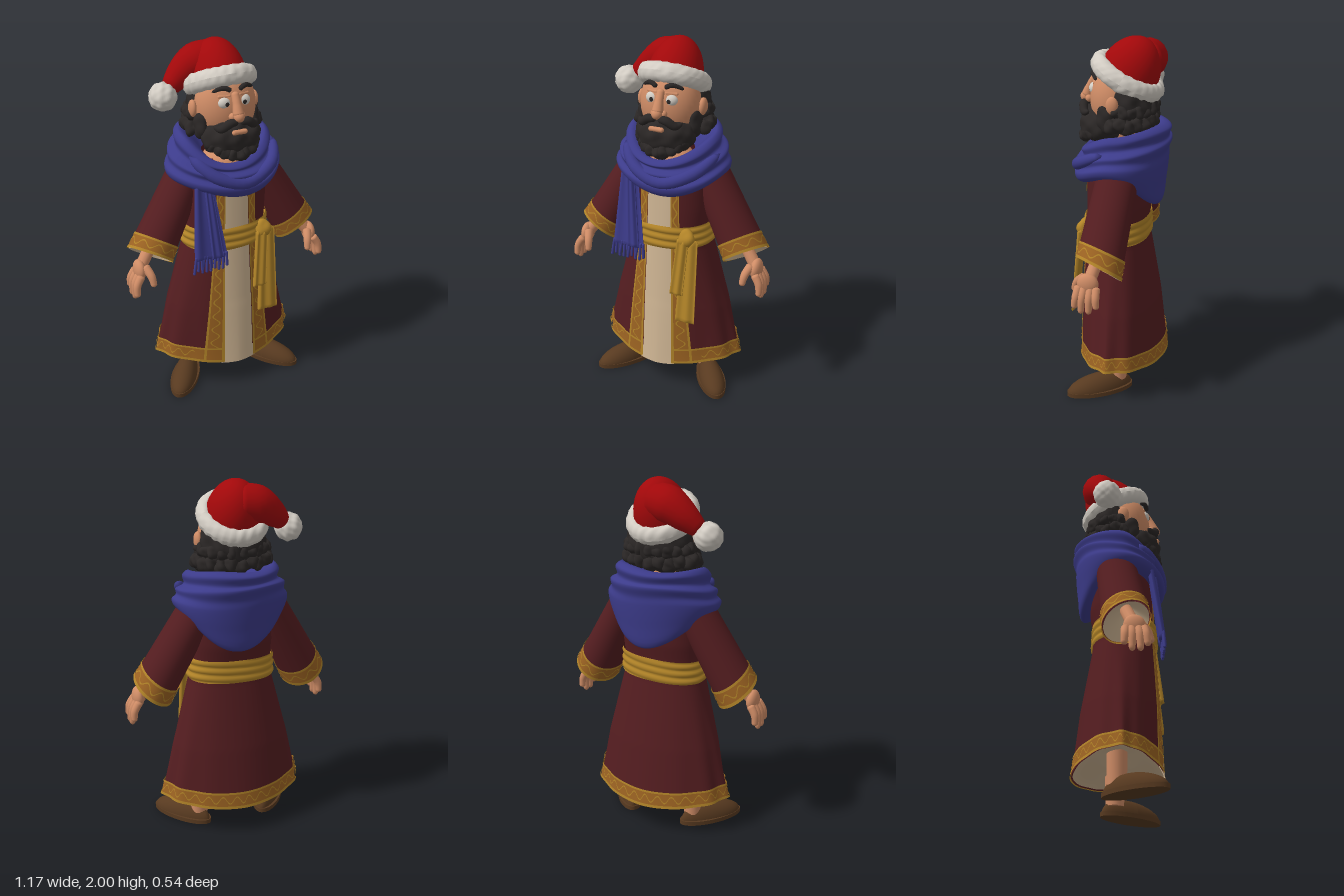
import * as THREE from 'three';
import { mergeVertices } from 'three/addons/utils/BufferGeometryUtils.js';

const mat = (name, color, side = THREE.FrontSide) => {
  const m = new THREE.MeshStandardMaterial({ color, side });
  m.name = name;
  return m;
};
const V = (x, y, z) => new THREE.Vector3(x, y, z);
const { lerp, clamp } = THREE.MathUtils;

// Surface from a rule f(u, v) -> Vector3
function patch(f, nu, nv) {
  const pos = [], idx = [];
  for (let j = 0; j <= nv; j++) for (let i = 0; i <= nu; i++) pos.push(...f(i / nu, j / nv).toArray());
  for (let j = 0; j < nv; j++) for (let i = 0; i < nu; i++) {
    const a = j * (nu + 1) + i, b = a + nu + 1;
    idx.push(a, a + 1, b, b, a + 1, b + 1);
  }
  let g = new THREE.BufferGeometry();
  g.setAttribute('position', new THREE.Float32BufferAttribute(pos, 3));
  g.setIndex(idx);
  g = mergeVertices(g, 1e-5);
  g.computeVertexNormals();
  return g;
}
// Tapered tube with rounded tips
function taper(points, radii) {
  const curve = new THREE.CatmullRomCurve3(points), n = 20, fr = curve.computeFrenetFrames(n);
  return patch((u, v) => {
    const i = Math.round(v * n), k = v * (radii.length - 1), a = Math.min(Math.floor(k), radii.length - 2);
    const r = lerp(radii[a], radii[a + 1], k - a) * Math.sqrt(clamp(Math.min(v, 1 - v) * 12, 0, 1));
    return curve.getPoint(v).addScaledVector(fr.normals[i], r * Math.cos(-u * 2 * Math.PI))
      .addScaledVector(fr.binormals[i], r * Math.sin(-u * 2 * Math.PI));
  }, 16, n);
}
const ball = (p, sx, sy = sx, sz = sx, n = 24) =>
  new THREE.SphereGeometry(1, n, Math.round(n * 0.7)).scale(sx, sy, sz).translate(p.x, p.y, p.z);
function capsule(a, b, r) {
  const d = b.clone().sub(a), g = new THREE.CapsuleGeometry(r, d.length(), 5, 12);
  g.applyQuaternion(new THREE.Quaternion().setFromUnitVectors(V(0, 1, 0), d.normalize()));
  const c = a.clone().add(b).multiplyScalar(0.5);
  return g.translate(c.x, c.y, c.z);
}
// Lumpy displacement for fur and curls
function lumpy(g, amp, f) {
  const p = g.attributes.position, n = g.attributes.normal;
  for (let i = 0; i < p.count; i++) {
    const x = p.getX(i), y = p.getY(i), z = p.getZ(i);
    const d = amp * (Math.sin(x * f + z * f * 0.6) + Math.sin(y * f * 1.1 - x * f * 0.5) * Math.cos(z * f));
    p.setXYZ(i, x + n.getX(i) * d, y + n.getY(i) * d, z + n.getZ(i) * d);
  }
  g.computeVertexNormals();
  return g;
}
function mirrored(g) {
  const m = g.clone().scale(-1, 1, 1), a = m.index.array;
  for (let i = 0; i < a.length; i += 3) [a[i], a[i + 1]] = [a[i + 1], a[i]];
  return m;
}

// Robe outline: height, half width, front depth, back depth
const rows = [[0.15, 0.408, 0.238, 0.256], [0.5, 0.342, 0.222, 0.215], [0.88, 0.238, 0.198, 0.15], [1.0, 0.232, 0.193, 0.146],
  [1.1, 0.24, 0.19, 0.165], [1.26, 0.245, 0.185, 0.17], [1.36, 0.21, 0.15, 0.15], [1.44, 0.1, 0.09, 0.1]];
function section(y) {
  let i = 0;
  while (i < rows.length - 2 && y > rows[i + 1][0]) i++;
  const t = (y - rows[i][0]) / (rows[i + 1][0] - rows[i][0]);
  return rows[i].map((a, k) => lerp(a, rows[i + 1][k], t));
}
// The front narrows towards the hem, the back stays rounder
const bend = (y, front) => 0.9 + (front ? 0.35 : 0.19) * clamp((1 - y) / 0.8, 0, 1);
function robe(y, th, off = 0) {
  const [, w, f, b] = section(y), s = Math.sin(th), c = Math.cos(th), e = bend(y, c > 0);
  const pw = (q) => Math.sign(q) * Math.abs(q) ** e;
  const k = 1 + off / 0.22 + 0.02 * clamp((0.85 - y) / 0.6, 0, 1) * Math.cos(12 * th) * s * s;
  return V(pw(s) * w * k, y + 0.045 * s * s * clamp((0.5 - y) / 0.34, 0, 1), pw(c) * (c > 0 ? f : b) * k);
}
const angleAt = (x, y) => Math.sign(x) * Math.asin(Math.min(1, Math.abs(x) / section(y)[1]) ** (1 / bend(y, true)));
const panelW = (y) => lerp(0.092, 0.065, clamp((y - 0.16) / 1.1, 0, 1));
const trimW = (y) => lerp(0.198, 0.11, clamp((y - 0.16) / 0.9, 0, 1));

// Hanging cloth strip between two ends given as [x, y, half width, z]
const strip = (from, to) => patch((u, v) => {
  const t = clamp((v - 0.02) / 0.96, 0, 1), a = -u * 2 * Math.PI, end = v === 0 || v === 1 ? 0 : 1;
  const [x, y, w, z] = from.map((q, i) => lerp(q, to[i], t));
  return V(x + w * Math.cos(a), y, z + end * (0.014 * Math.sin(a) + 0.005 * Math.cos(a * 5)));
}, 40, 26);

export function createModel() {
  const D = THREE.DoubleSide, root = new THREE.Group();
  root.name = 'robedMan';
  const M = {
    red: mat('hatRed', 0xa2080a, D), fur: mat('furWhite', 0xd2ccc3), skin: mat('skin', 0xcf8c66, D),
    hair: mat('hairBlack', 0x2b2726, D), blue: mat('scarfBlue', 0x3c3b8a, D), maroon: mat('coatMaroon', 0x541d20, D),
    gold: mat('sashGold', 0xb28428, D), trim: mat('trimBronze', 0x9c6322, D), cream: mat('tunicCream', 0xd2b896, D),
    shoe: mat('shoeBrown', 0x583a20),
  };
  const add = (name, g, m) => {
    const mesh = new THREE.Mesh(g, m);
    mesh.name = name;
    root.add(mesh);
  };
  const pair = (name, g, m) => { add(name + 'Left', g, m); add(name + 'Right', mirrored(g), m); };

  // Coat, tunic and trims
  const band = (y0, y1, off, n) => patch((u, v) => {
    const y = lerp(y0, y1, v), e = angleAt(panelW(y), y);
    return robe(y, lerp(e, 2 * Math.PI - e, u), off);
  }, 110, n);
  add('coat', band(0.16, 1.4, 0, 64), M.maroon);
  add('hemTrim', band(0.165, 0.25, 0.004, 6), M.trim);
  add('hemEdgeLower', band(0.158, 0.174, 0.007, 2), M.gold);
  add('hemEdgeUpper', band(0.243, 0.255, 0.006, 2), M.gold);
  add('hemScroll', patch((u, v) => {
    const e = 0.75, th = lerp(e, 2 * Math.PI - e, u);
    return robe(0.209 + 0.02 * Math.sin(th * 30) + (v - 0.5) * 0.008, th, 0.006);
  }, 360, 1), M.gold);
  add('tunic', patch((u, v) => {
    const y = lerp(0.15, 1.36, v), e = angleAt(panelW(y) * 1.15, y);
    return robe(y, lerp(-e, e, u), lerp(0.002, -0.008, clamp(v * 3, 0, 1)));
  }, 14, 60), M.cream);
  add('hemLining', patch((u, v) => {
    const p = robe(0.165, u * 2 * Math.PI, -0.006);
    return V(p.x * (1 - v), p.y + 0.045 * Math.sqrt(v), p.z * (1 - v));
  }, 80, 10), M.cream);
  const frontStrip = (a, b, off) => patch((u, v) => {
    const y = lerp(0.16, 1.36, v), x = lerp(panelW(y), trimW(y), lerp(a, b, u));
    return robe(y, angleAt(x, y), off);
  }, 8, 64);
  pair('frontTrim', frontStrip(0, 1, 0.004), M.trim);
  pair('frontTrimInnerEdge', frontStrip(-0.03, 0.12, 0.007), M.gold);
  pair('frontTrimOuterEdge', frontStrip(0.9, 1.03, 0.006), M.gold);
  pair('frontScroll', patch((u, v) => {
    const y = lerp(0.25, 1.3, v), x = lerp(panelW(y), trimW(y), 0.52 + 0.22 * Math.sin(y * 70)) + (u - 0.5) * 0.008;
    return robe(y, angleAt(x, y), 0.006);
  }, 1, 160), M.gold);

  // Sash with knot and hanging ends
  add('sash', patch((u, v) => {
    const th = u * 2 * Math.PI, y = lerp(0.885, 1.015, v);
    const p = robe(y, th, 0.006 + 0.012 * Math.abs(Math.sin(v * 3 * Math.PI + Math.sin(th * 2) * 0.4)));
    p.y += 0.008 * Math.sin(th);
    return p;
  }, 72, 18), M.gold);
  add('sashKnot', lumpy(ball(V(0.165, 0.955, 0.18), 0.045, 0.06, 0.04), 0.004, 60), M.gold);
  add('sashEndLong', strip([0.185, 0.96, 0.045, 0.185], [0.175, 0.465, 0.06, 0.236]), M.gold);
  add('sashEndShort', strip([0.148, 0.96, 0.035, 0.2], [0.122, 0.63, 0.04, 0.236]), M.gold);

  // Sleeves, cuffs, linings
  const A = V(0.2, 1.3, -0.025), B = V(0.445, 0.86, 0.02), ax = V(0.54, -0.84, 0), e1 = V(0.84, 0.54, 0);
  const along = (t, a, r) => A.clone().lerp(B, t).addScaledVector(e1, r * Math.cos(a))
    .addScaledVector(V(0, 0, 1), r * Math.sin(a) * lerp(1.13, 1, t)).addScaledVector(ax, -0.05 * t * Math.sin(a));
  const sleeve = (t0, t1, off, n, shrink = 0) => patch((u, v) => {
    const t = lerp(t0, t1, v);
    return along(t, u * 2 * Math.PI, (lerp(0.1, 0.124, t) + off) * (1 - shrink * v));
  }, 36, n);
  pair('sleeve', sleeve(0, 1, 0, 16), M.maroon);
  pair('shoulder', ball(A, 0.1, 0.1, 0.112), M.maroon);
  pair('cuff', sleeve(0.84, 1.0, 0.004, 4), M.trim);
  pair('cuffLowerEdge', sleeve(0.98, 1.012, 0.007, 2), M.gold);
  pair('cuffUpperEdge', sleeve(0.825, 0.85, 0.006, 2), M.gold);
  pair('cuffScroll', patch((u, v) => {
    const a = u * 2 * Math.PI;
    return along(0.915 + 0.035 * Math.sin(a * 9) + (v - 0.5) * 0.016, a, 0.129);
  }, 120, 1), M.gold);
  pair('sleeveLining', sleeve(1.01, 0.75, -0.004, 8, 0.95), M.cream);

  // Hands
  pair('wrist', capsule(V(0.43, 0.93, 0.02), V(0.51, 0.82, 0.05), 0.034), M.skin);
  pair('palm', ball(V(0.525, 0.8, 0.058), 0.033, 0.06, 0.058), M.skin);
  [[0.105, 0.125, 0.668], [0.075, 0.088, 0.64], [0.042, 0.045, 0.64], [0.012, 0.004, 0.675]].forEach(([z0, z1, y], i) =>
    pair('finger' + (i + 1), taper([V(0.528, 0.79, z0), V(0.56, 0.735, (z0 + z1) / 2), V(0.565, y, z1)], [0.023, 0.021, 0.016]), M.skin));
  pair('thumb', taper([V(0.505, 0.83, 0.08), V(0.483, 0.785, 0.128), V(0.474, 0.725, 0.15)], [0.026, 0.022, 0.016]), M.skin);

  // Legs and shoes, toes turned out
  pair('leg', new THREE.CylinderGeometry(0.056, 0.05, 0.22, 20).translate(0.2, 0.17, -0.02), M.skin);
  const upper = new THREE.SphereGeometry(1, 28, 14, 0, Math.PI * 2, 0, Math.PI / 2), p = upper.attributes.position;
  for (let i = 0; i < p.count; i++) {
    const z = p.getZ(i);
    p.setXYZ(i, p.getX(i) * (0.07 + 0.012 * z), p.getY(i) * (0.09 - 0.015 * z), z * 0.19);
  }
  upper.computeVertexNormals();
  const turn = (g, y) => g.rotateY(0.6).translate(0.272, y, 0.068);
  pair('shoe', turn(upper, 0.018), M.shoe);
  pair('sole', turn(new THREE.CylinderGeometry(1, 1, 0.024, 32).scale(0.079, 1, 0.196), 0.012), M.shoe);

  // Draped scarf: [front y, front z, side y, side x, back y, back z]
  const drape = [[1.31, 0.1, 1.4, 0.12, 1.44, 0.09], [1.36, 0.14, 1.47, 0.17, 1.51, 0.15], [1.39, 0.185, 1.52, 0.235, 1.54, 0.22],
    [1.365, 0.222, 1.49, 0.265, 1.525, 0.264], [1.345, 0.212, 1.44, 0.258, 1.48, 0.252], [1.325, 0.248, 1.41, 0.303, 1.46, 0.268],
    [1.29, 0.234, 1.375, 0.302, 1.4, 0.25], [1.265, 0.258, 1.345, 0.325, 1.35, 0.25], [1.228, 0.248, 1.305, 0.315, 1.22, 0.238],
    [1.208, 0.205, 1.275, 0.27, 1.09, 0.215], [1.22, 0.16, 1.285, 0.21, 1.11, 0.15]];
  const [F, S, K] = [0, 2, 4].map((k) => new THREE.CatmullRomCurve3(drape.map((r) => V(r[k], r[k + 1], 0))));
  add('scarf', patch((u, v) => {
    const th = u * 2 * Math.PI, s = Math.sin(th), c = Math.cos(th), w = v * 0.998 + 0.001;
    const side = S.getPoint(w), end = (c > 0 ? F : K).getPoint(w);
    return V(side.y * s, lerp(side.x, end.x, c * c) + 0.01 * Math.sin(3 * th + v * 4), end.y * c);
  }, 80, 50), M.blue);
  add('scarfFold', taper([V(-0.24, 1.44, 0.1), V(-0.13, 1.34, 0.205), V(0.03, 1.29, 0.236), V(0.2, 1.35, 0.185), V(0.29, 1.43, 0.04)],
    [0.03, 0.034, 0.034, 0.034, 0.025]), M.blue);
  add('scarfEnd', strip([-0.185, 1.3, 0.05, 0.165], [-0.17, 0.87, 0.096, 0.226]), M.blue);
  add('scarfEndFold', strip([-0.17, 1.3, 0.02, 0.18], [-0.135, 0.87, 0.035, 0.236]), M.blue);
  for (let i = 0; i < 12; i++) {
    const x = -0.258 + i * 0.0162;
    add('fringe' + (i + 1), capsule(V(x, 0.89, 0.226), V(x - 0.014 + 0.008 * (i % 3), 0.8 + 0.014 * (i % 2), 0.23), 0.008), M.blue);
  }

  // Head and face
  add('neck', new THREE.CylinderGeometry(0.085, 0.11, 0.26, 24).translate(0, 1.42, 0.03), M.skin);
  add('chest', ball(V(0, 1.37, 0.04), 0.13, 0.07, 0.122), M.skin);
  add('head', ball(V(0, 1.67, 0.03), 0.168, 0.2, 0.145, 36), M.skin);
  pair('ear', ball(V(0.178, 1.668, 0.015), 0.022, 0.048, 0.034), M.skin);
  pair('eye', ball(V(0.054, 1.724, 0.142), 0.037, 0.033, 0.029), M.fur);
  pair('iris', ball(V(0.05, 1.722, 0.17), 0.011, 0.012, 0.003), M.hair);
  pair('eyelid', capsule(V(0.03, 1.76, 0.15), V(0.08, 1.757, 0.135), 0.009), M.skin);
  pair('eyebrow', taper([V(0.022, 1.79, 0.16), V(0.06, 1.806, 0.148), V(0.115, 1.782, 0.118)], [0.012, 0.014, 0.008]), M.hair);
  add('nose', taper([V(0, 1.78, 0.148), V(0, 1.72, 0.18), V(0, 1.66, 0.203)], [0.02, 0.023, 0.032]), M.skin);
  add('noseTip', ball(V(0, 1.66, 0.207), 0.029), M.skin);
  pair('nostril', ball(V(0.026, 1.656, 0.182), 0.02), M.skin);

  // Beard, moustache and hair
  add('beard', lumpy(ball(V(0, 1.525, 0.1), 0.164, 0.112, 0.132, 56), 0.005, 65), M.hair);
  for (let i = -4; i <= 4; i++) {
    const a = i * 0.3, s = Math.sin(a), c = Math.cos(a);
    add('beardCurl' + (i + 5), lumpy(ball(V(0.12 * s, 1.45 + 0.05 * s * s, 0.105 + 0.1 * c), 0.036), 0.004, 90), M.hair);
  }
  pair('sideburn', lumpy(ball(V(0.15, 1.585, 0.055), 0.032, 0.075, 0.05), 0.004, 70), M.hair);
  pair('moustache', taper([V(0.004, 1.632, 0.205), V(0.05, 1.63, 0.205), V(0.095, 1.6, 0.187), V(0.125, 1.612, 0.157)],
    [0.016, 0.024, 0.022, 0.008]), M.hair);
  add('lowerLip', capsule(V(-0.03, 1.58, 0.216), V(0.03, 1.58, 0.216), 0.014), M.skin);
  add('hair', lumpy(ball(V(0, 1.66, -0.05), 0.184, 0.17, 0.14, 56), 0.006, 60), M.hair);
  for (let i = 0; i < 13; i++) {
    const a = (i / 12 - 0.5) * 3.6, s = Math.sin(a), c = Math.cos(a);
    add('hairCurlLower' + (i + 1), lumpy(ball(V(0.184 * s, 1.555 + 0.015 * (i % 2), -0.02 - 0.135 * c), 0.043), 0.005, 90), M.hair);
    add('hairCurlUpper' + (i + 1), lumpy(ball(V(0.176 * s, 1.63, -0.035 - 0.13 * c), 0.036), 0.005, 90), M.hair);
  }

  // Hat with fur brim and pompom
  const tilt = (g) => g.rotateX(-0.48).translate(-0.005, 1.785, -0.025);
  add('hatBrim', tilt(lumpy(new THREE.TorusGeometry(0.162, 0.044, 20, 90).rotateX(Math.PI / 2).scale(0.95, 1.2, 1.03), 0.002, 120)), M.fur);
  add('hatCrown', tilt(new THREE.SphereGeometry(1, 40, 20, 0, Math.PI * 2, 0, Math.PI / 2).scale(0.148, 0.228, 0.163)), M.red);
  add('hatTail', taper([V(0.02, 1.885, -0.1), V(-0.1, 1.87, -0.12), V(-0.19, 1.815, -0.115), V(-0.28, 1.74, -0.09)],
    [0.1, 0.102, 0.078, 0.04]), M.red);
  add('hatPompom', lumpy(ball(V(-0.305, 1.72, -0.08), 0.077, 0.077, 0.077, 48), 0.002, 120), M.fur);
  return root;
}
